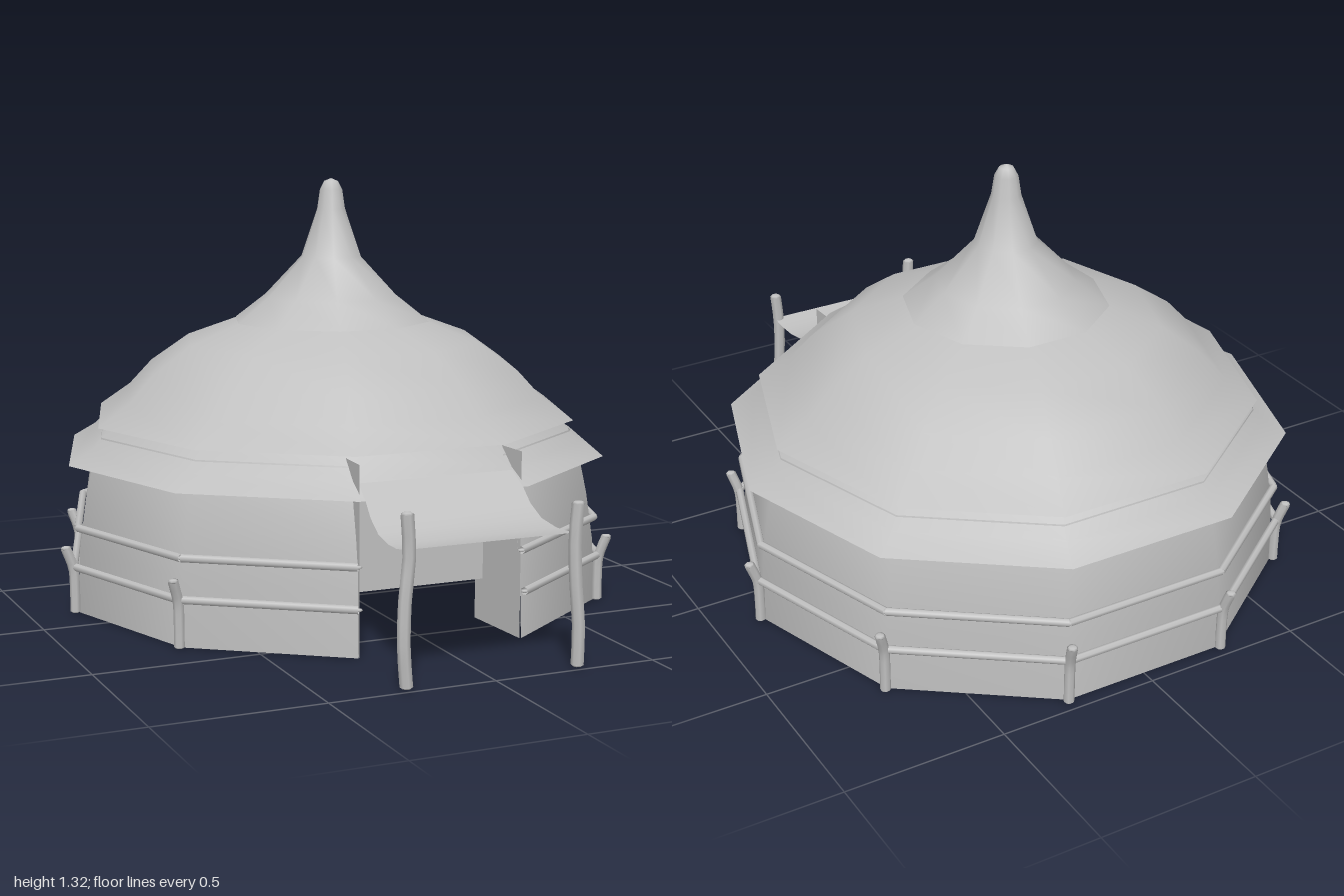
import * as THREE from 'three';

const canvas = new THREE.MeshStandardMaterial({ color: 0xc0c0c0, side: THREE.DoubleSide });
canvas.name = 'pale grey';

const SIDES = 10;
const STEP = (Math.PI * 2) / SIDES;
const CENTRE_Z = -0.15;
const v3 = (x, y, z) => new THREE.Vector3(x, y, z);

// Corner k of the ten-sided plan; corners 0 and 9 flank the doorway
const corner = (k, r, y) => {
  const a = STEP / 2 + k * STEP;
  return v3(Math.sin(a) * r, y, Math.cos(a) * r);
};

function add(parent, name, geometry) {
  const mesh = new THREE.Mesh(geometry, canvas);
  mesh.name = name;
  parent.add(mesh);
  return mesh;
}

// Ten-sided shell turned from a profile of [radius, height] points, bottom to top
function shell(parent, name, profile, sides = SIDES) {
  const points = profile.map(([r, y]) => new THREE.Vector2(r, y));
  return add(parent, name, new THREE.LatheGeometry(points, sides, STEP / 2, STEP * sides));
}

// Bent wooden pole with closed, slightly rounded ends
function pole(parent, name, points, radius) {
  const group = new THREE.Group();
  group.name = name;
  const path = new THREE.CatmullRomCurve3(points);
  add(group, name + 'Shaft', new THREE.TubeGeometry(path, 8, radius, 7));
  for (const end of [points[0], points[points.length - 1]]) {
    const cap = add(group, name + 'End', new THREE.SphereGeometry(radius, 7, 4));
    cap.position.copy(end);
    cap.scale.y = 0.4;
  }
  parent.add(group);
}

export function createModel() {
  const model = new THREE.Group();
  model.name = 'yurt';
  const hut = new THREE.Group();
  hut.name = 'hut';
  hut.position.z = CENTRE_Z;
  model.add(hut);

  // Wall, with the front panel left open
  shell(hut, 'wall', [[0.848, 0], [0.84, 0.2], [0.82, 0.34], [0.795, 0.46], [0.765, 0.54]], 9);

  // Roof tiers and the pointed cap
  shell(hut, 'lowerRoof', [[0.87, 0.46], [0.795, 0.505], [0.73, 0.575], [0.68, 0.62]]);
  shell(hut, 'upperRoof', [[0.775, 0.57], [0.675, 0.64], [0.6, 0.72], [0.474, 0.808], [0.3, 0.872]]);
  shell(hut, 'roofCap', [
    [0.315, 0.868], [0.215, 0.945], [0.096, 1.07], [0.045, 1.22],
    [0.036, 1.28], [0.022, 1.306], [0, 1.315],
  ]);

  // Two rails around the wall, broken at the doorway
  for (const [y, r] of [[0.265, 0.845], [0.145, 0.86]]) {
    for (let k = 0; k < SIDES - 1; k++) {
      pole(hut, 'rail', [corner(k, r, y), corner(k + 1, r, y)], 0.012);
    }
  }

  // Short posts leaning outward at the wall corners
  for (let k = 1; k < SIDES - 1; k++) {
    pole(hut, 'wallPost', [
      corner(k, 0.858, 0.005), corner(k, 0.858, 0.07),
      corner(k, 0.862, 0.14), corner(k, 0.885, 0.205),
    ], 0.016);
  }

  // Doorway: side panels running inward and a hanging door between them
  const door = add(model, 'door', new THREE.PlaneGeometry(0.48, 0.43));
  door.position.set(0, 0.35, 0.45);
  for (const side of [-1, 1]) {
    const jamb = add(model, 'doorJamb', new THREE.PlaneGeometry(0.26, 0.56));
    jamb.position.set(side * 0.25, 0.28, 0.525);
    jamb.rotation.y = -side * (Math.PI / 2 - 0.06);
  }

  // Sagging awning, a little wider at its front edge
  const sag = [[0.62, 0.5], [0.68, 0.46], [0.72, 0.42], [0.78, 0.388], [0.86, 0.376], [0.92, 0.378], [0.98, 0.388]];
  const cloth = new THREE.PlaneGeometry(1, 1, 1, sag.length - 1);
  const pos = cloth.attributes.position;
  for (let i = 0; i < pos.count; i++) {
    const [z, y] = sag[Math.floor(i / 2)];
    const half = 0.25 + (z - 0.68) * 0.067;
    pos.setXYZ(i, i % 2 ? half : -half, y, z);
  }
  cloth.computeVertexNormals();
  add(model, 'awning', cloth);

  // Crooked poles holding the awning
  pole(model, 'awningPoleRight', [
    v3(-0.262, 0.008, 0.978), v3(-0.272, 0.12, 0.982), v3(-0.268, 0.25, 0.98),
    v3(-0.255, 0.37, 0.978), v3(-0.262, 0.485, 0.98),
  ], 0.019);
  pole(model, 'awningPoleLeft', [
    v3(0.268, 0.008, 0.978), v3(0.268, 0.12, 0.982), v3(0.258, 0.25, 0.98),
    v3(0.255, 0.37, 0.978), v3(0.262, 0.47, 0.98),
  ], 0.019);

  return model;
}
